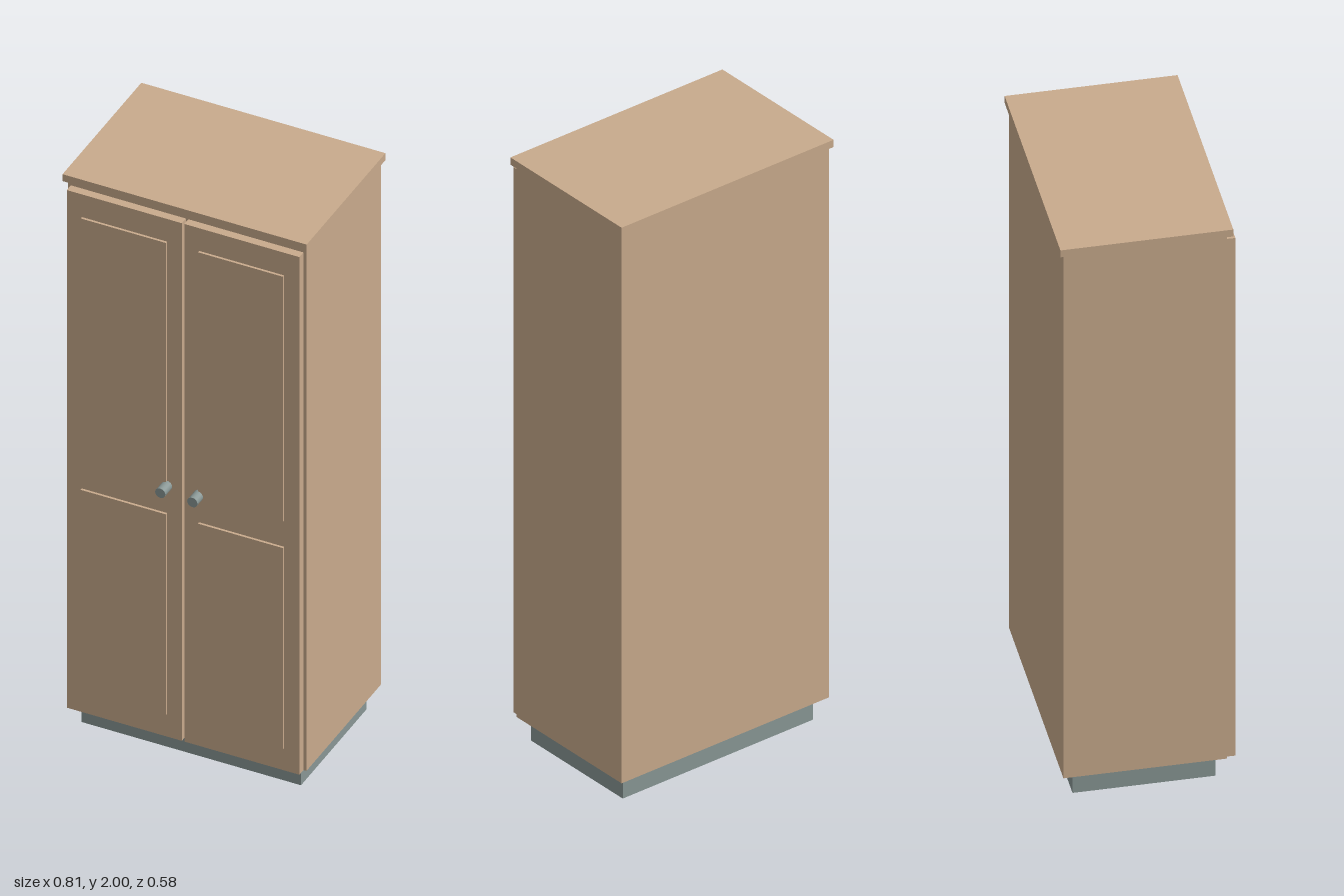
import * as THREE from 'three';

export function createModel() {
  const wood = new THREE.MeshStandardMaterial({ name: 'lightWood', color: 0xc8aa8c });
  const grey = new THREE.MeshStandardMaterial({ name: 'blueGrey', color: 0x889694 });

  // Box given by its limits along each axis
  const box = (name, material, [x0, x1], [y0, y1], [z0, z1]) => {
    const mesh = new THREE.Mesh(new THREE.BoxGeometry(x1 - x0, y1 - y0, z1 - z0), material);
    mesh.position.set((x0 + x1) / 2, (y0 + y1) / 2, (z0 + z1) / 2);
    mesh.name = name;
    return mesh;
  };

  const model = new THREE.Group();
  model.name = 'wardrobe';

  // Carcass on a recessed plinth, with an overhanging top
  model.add(
    box('plinth', grey, [-0.362, 0.362], [0, 0.08], [-0.245, 0.187]),
    box('carcass', wood, [-0.394, 0.394], [0.08, 1.975], [-0.279, 0.215]),
    box('topBoard', wood, [-0.403, 0.403], [1.975, 2], [-0.29, 0.232]),
  );

  // Two mirrored doors, each with two raised panels and a knob
  for (const [side, s] of [['left', 1], ['right', -1]]) {
    const span = (a, b) => (s > 0 ? [a, b] : [-b, -a]);
    const door = new THREE.Group();
    door.name = `${side}Door`;
    door.add(
      box(`${side}DoorBoard`, wood, span(0.004, 0.384), [0.08, 1.955], [0.215, 0.242]),
      box(`${side}LowerPanel`, wood, span(0.053, 0.334), [0.162, 0.89], [0.242, 0.25]),
      box(`${side}UpperPanel`, wood, span(0.053, 0.334), [0.985, 1.873], [0.242, 0.25]),
    );
    const knob = new THREE.Mesh(new THREE.CylinderGeometry(0.017, 0.017, 0.045, 16), grey);
    knob.name = `${side}Knob`;
    knob.rotation.x = Math.PI / 2;
    knob.position.set(s * 0.053, 0.99, 0.2645);
    door.add(knob);
    model.add(door);
  }

  return model;
}
